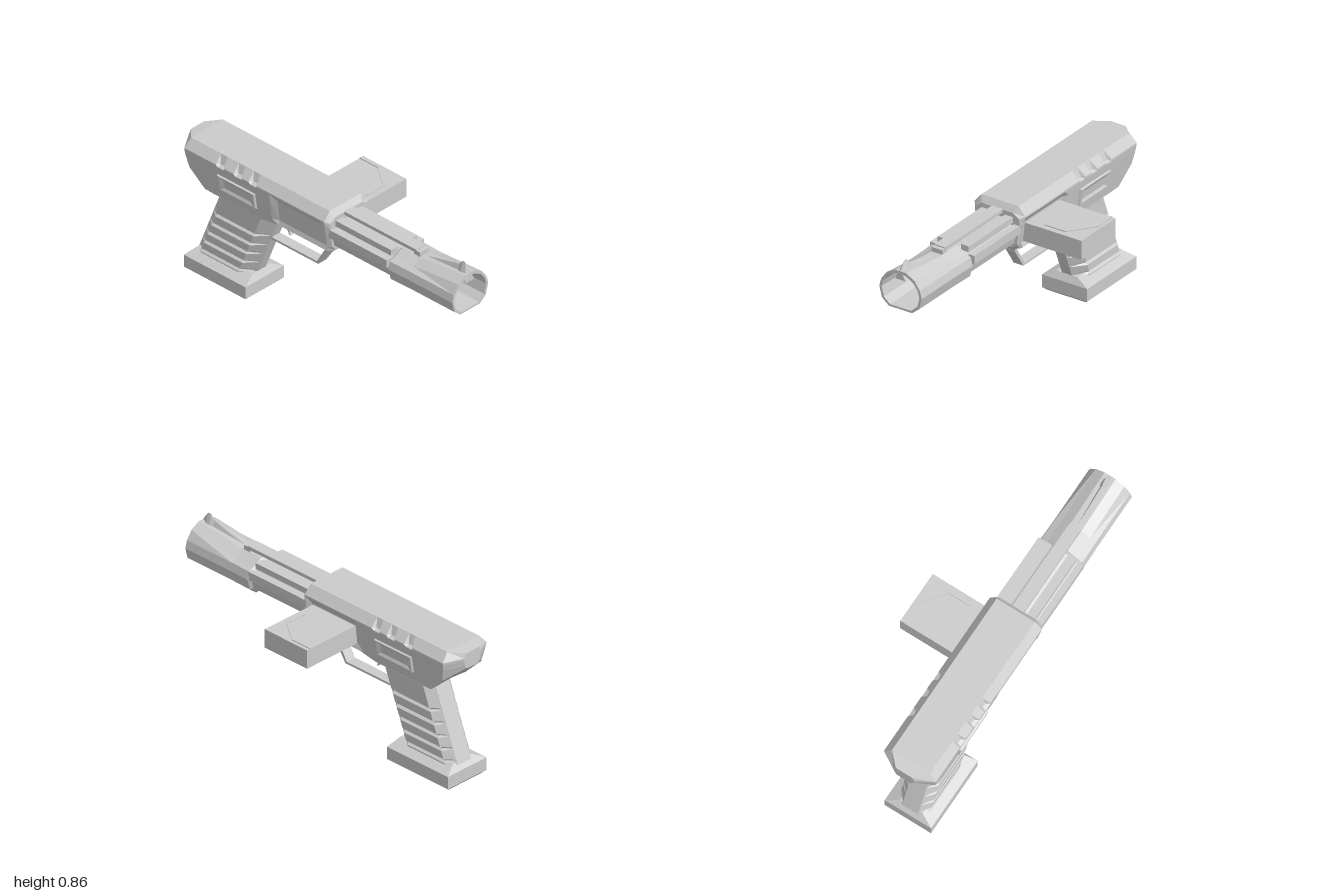
import * as THREE from 'three';

const material = new THREE.MeshStandardMaterial({ color: 0xcccccc, flatShading: true, side: THREE.DoubleSide });

// Skin a list of equal-length rings of [x, y, z], closing both ends.
function loft(name, rings) {
  const tris = [];
  const n = rings[0].length;
  for (let r = 0; r < rings.length - 1; r++) {
    for (let i = 0; i < n; i++) {
      const j = (i + 1) % n;
      const [a, b, c, d] = [rings[r][i], rings[r][j], rings[r + 1][j], rings[r + 1][i]];
      tris.push([a, b, c], [a, c, d]);
    }
  }
  const cap = (ring, flip) => {
    const mid = [0, 1, 2].map(k => ring.reduce((sum, p) => sum + p[k], 0) / n);
    ring.forEach((p, i) => {
      const q = ring[(i + 1) % n];
      tris.push(flip ? [mid, q, p] : [mid, p, q]);
    });
  };
  cap(rings[0], true);
  cap(rings[rings.length - 1], false);
  // Turn the faces outward if the enclosed volume comes out negative.
  let volume = 0;
  const v = p => new THREE.Vector3(...p);
  for (const [a, b, c] of tris) volume += v(a).dot(v(b).cross(v(c)));
  if (volume < 0) tris.forEach(t => t.reverse());
  const geometry = new THREE.BufferGeometry();
  geometry.setAttribute('position', new THREE.Float32BufferAttribute(tris.flat(2), 3));
  geometry.computeVertexNormals();
  return part(name, geometry);
}

function part(name, geometry) {
  const mesh = new THREE.Mesh(geometry, material);
  mesh.name = name;
  return mesh;
}

// Complete a half outline of [x, y, halfWidth], listed top to bottom.
const mirrorRing = half => [...half, ...half.slice().reverse().map(([x, y, w]) => [x, y, -w])];

function box(name, x0, x1, y0, y1, z0, z1) {
  const geometry = new THREE.BoxGeometry(x1 - x0, y1 - y0, z1 - z0);
  geometry.translate((x0 + x1) / 2, (y0 + y1) / 2, (z0 + z1) / 2);
  return part(name, geometry);
}

// Side outline in x and y, given thickness about the centre plane.
function plate(name, points, thickness) {
  const shape = new THREE.Shape(points.map(p => new THREE.Vector2(...p)));
  const geometry = new THREE.ExtrudeGeometry(shape, { depth: thickness, bevelEnabled: false });
  geometry.translate(0, 0, -thickness / 2);
  return part(name, geometry);
}

function bodyRing(x, { bottom = 0.545, notch = 0, recess = 0 } = {}) {
  return mirrorRing([
    [x, 0.835, 0.12], [x, 0.785, 0.163 - notch], [x, 0.775, 0.163],
    [x, 0.74, 0.158 - recess], [x, 0.61, 0.138 - recess * 0.8],
    [x, bottom + 0.018, 0.13], [x, bottom, 0.06]
  ]);
}

function createBody() {
  const rings = [
    mirrorRing([[-1, 0.825, 0.05], [-1, 0.80, 0.065], [-1, 0.79, 0.065], [-1, 0.77, 0.06],
      [-1, 0.75, 0.055], [-1, 0.735, 0.05], [-1, 0.73, 0.03]]),
    mirrorRing([[-0.93, 0.835, 0.12], [-0.94, 0.785, 0.163], [-0.94, 0.775, 0.163], [-0.935, 0.74, 0.158],
      [-0.92, 0.665, 0.145], [-0.82, 0.565, 0.13], [-0.79, 0.547, 0.06]]),
    bodyRing(-0.76)
  ];
  // Gripping notches along the shoulders
  for (const x of [-0.68, -0.55, -0.44]) {
    rings.push(bodyRing(x - 0.03), bodyRing(x - 0.015, { notch: 0.022 }),
      bodyRing(x + 0.015, { notch: 0.022 }), bodyRing(x + 0.03));
  }
  // Recessed forward side and tapered nose
  rings.push(
    bodyRing(-0.32, { bottom: 0.56 }),
    bodyRing(-0.28, { bottom: 0.565, recess: 0.02 }),
    bodyRing(0.06, { bottom: 0.565, recess: 0.02 }),
    bodyRing(0.085, { bottom: 0.567 }),
    mirrorRing([[0.11, 0.80, 0.10], [0.11, 0.775, 0.14], [0.11, 0.765, 0.142], [0.11, 0.74, 0.142],
      [0.11, 0.62, 0.125], [0.11, 0.595, 0.10], [0.11, 0.585, 0.06]])
  );
  return loft('body', rings);
}

// Raised rim with a shallow inset, following the sloping side of the body.
function createSidePanel(side) {
  const ring = (inset, lift) => [[-0.71, 0.62], [-0.42, 0.62], [-0.42, 0.73], [-0.71, 0.73]].map(([x, y], i) => {
    const px = x + (i === 0 || i === 3 ? inset * 1.6 : -inset * 1.6);
    const py = y + (i < 2 ? inset : -inset);
    return [px, py, side * (0.13 + (py - 0.56) * 0.153 + lift)];
  });
  return loft(side > 0 ? 'leftSidePanel' : 'rightSidePanel',
    [ring(0, -0.01), ring(0.008, 0.012), ring(0.014, 0.012), ring(0.03, 0.002)]);
}

// Faceted barrel outline; s shrinks it about its axis, top sets its highest point.
function barrelRing(x, s, top) {
  const half = [[top, 0.035], [top - 0.03, 0.09], [0.725, 0.125], [0.68, 0.137], [0.615, 0.12], [0.578, 0.075]];
  return mirrorRing(half.map(([y, w]) => [x, 0.685 + (y - 0.685) * s, w * s]));
}

function createBarrel() {
  const group = new THREE.Group();
  group.name = 'barrel';
  group.add(
    loft('barrelTube', [barrelRing(0.08, 0.92, 0.765), barrelRing(0.14, 0.9, 0.765), barrelRing(0.54, 0.9, 0.765)]),
    // Hollow muzzle shroud
    loft('muzzle', [barrelRing(0.52, 0.9, 0.765), barrelRing(0.535, 1.02, 0.77), barrelRing(0.67, 1, 0.77),
      barrelRing(1, 1, 0.805), barrelRing(1, 0.89, 0.80), barrelRing(0.62, 0.86, 0.765)]),
    box('topRib', 0.09, 0.64, 0.783, 0.803, -0.035, 0.035),
    box('ribFoot', 0.62, 0.665, 0.755, 0.797, -0.035, 0.035)
  );
  for (const s of [-1, 1]) {
    group.add(box('sideRail', 0.1, 0.525, 0.685, 0.735, s * 0.125 - 0.018, s * 0.125 + 0.018));
    group.add(box('upperRail', 0.1, 0.515, 0.74, 0.775, s * 0.075 - 0.025, s * 0.075 + 0.025));
  }
  // Pointed front sight
  const sight = [[0.68, 0.77, 0.008], [0.92, 0.828, 0.03], [0.945, 0.858, 0.036], [0.965, 0.856, 0.036], [1, 0.808, 0.034]];
  group.add(loft('frontSight', sight.map(([x, y, w]) => [[x, y, 0], [x, 0.755, w], [x, 0.755, -w]])));
  return group;
}

function createGrip() {
  const ring = (y, w) => {
    const t = (0.56 - y) / 0.43;
    const back = -0.765 - 0.168 * t, front = -0.36 - 0.17 * t;
    return [[back, 0.05], [back + 0.05, w], [front - 0.075, w], [front, 0.032],
      [front, -0.032], [front - 0.075, -w], [back + 0.05, -w], [back, -0.05]].map(([x, z]) => [x, y, z]);
  };
  const rings = [ring(0.11, 0.095)];
  for (const y of [0.135, 0.2, 0.267, 0.335, 0.405]) {
    rings.push(ring(y - 0.011, 0.095), ring(y, 0.08), ring(y + 0.011, 0.095));
  }
  rings.push(ring(0.53, 0.095), ring(0.565, 0.09));
  return loft('grip', rings);
}

function createGripBase() {
  const ring = (y, x0, x1, w) => [[x0, y, w], [x1, y, w], [x1, y, -w], [x0, y, -w]];
  return loft('gripBase', [ring(0, -0.945, -0.525, 0.12), ring(0.017, -0.96, -0.508, 0.146),
    ring(0.092, -0.96, -0.508, 0.146), ring(0.13, -0.925, -0.53, 0.07)]);
}

function createSideMagazine() {
  const group = new THREE.Group();
  group.name = 'sideMagazine';
  group.add(box('magazineBox', -0.265, 0.05, 0.615, 0.728, -0.5, -0.1));
  // Low stepped ridge on the top face
  const path = [[-0.265, -0.475], [-0.13, -0.475], [0.01, -0.37], [0.01, -0.24]];
  for (let i = 0; i < path.length - 1; i++) {
    const [[x0, z0], [x1, z1]] = [path[i], path[i + 1]];
    const ridge = part('magazineRidge', new THREE.BoxGeometry(Math.hypot(x1 - x0, z1 - z0), 0.008, 0.012));
    ridge.position.set((x0 + x1) / 2, 0.729, (z0 + z1) / 2);
    ridge.rotation.y = -Math.atan2(z1 - z0, x1 - x0);
    group.add(ridge);
  }
  return group;
}

export function createModel() {
  const model = new THREE.Group();
  model.name = 'pistol';
  const gun = new THREE.Group();
  gun.name = 'gun';
  gun.position.z = 0.17;
  gun.add(createBody(), createSidePanel(1), createSidePanel(-1), createBarrel(),
    createGrip(), createGripBase(), createSideMagazine());
  // Trigger guard, its mount and the trigger
  gun.add(
    plate('triggerGuard', [[-0.005, 0.57], [-0.01, 0.495], [-0.085, 0.38], [-0.45, 0.38], [-0.45, 0.393],
      [-0.095, 0.393], [-0.032, 0.50], [-0.035, 0.57]], 0.062),
    loft('guardMount', [[0.58, -0.07, 0.085, 0.1], [0.562, -0.06, 0.08, 0.09], [0.54, -0.035, 0, 0.042]].map(
      ([y, x0, x1, w]) => [[x0, y, w], [x1, y, w], [x1, y, -w], [x0, y, -w]])),
    plate('trigger', [[-0.285, 0.57], [-0.315, 0.51], [-0.318, 0.485], [-0.303, 0.45], [-0.312, 0.452],
      [-0.332, 0.485], [-0.328, 0.515], [-0.32, 0.57]], 0.03)
  );
  model.add(gun);
  return model;
}
